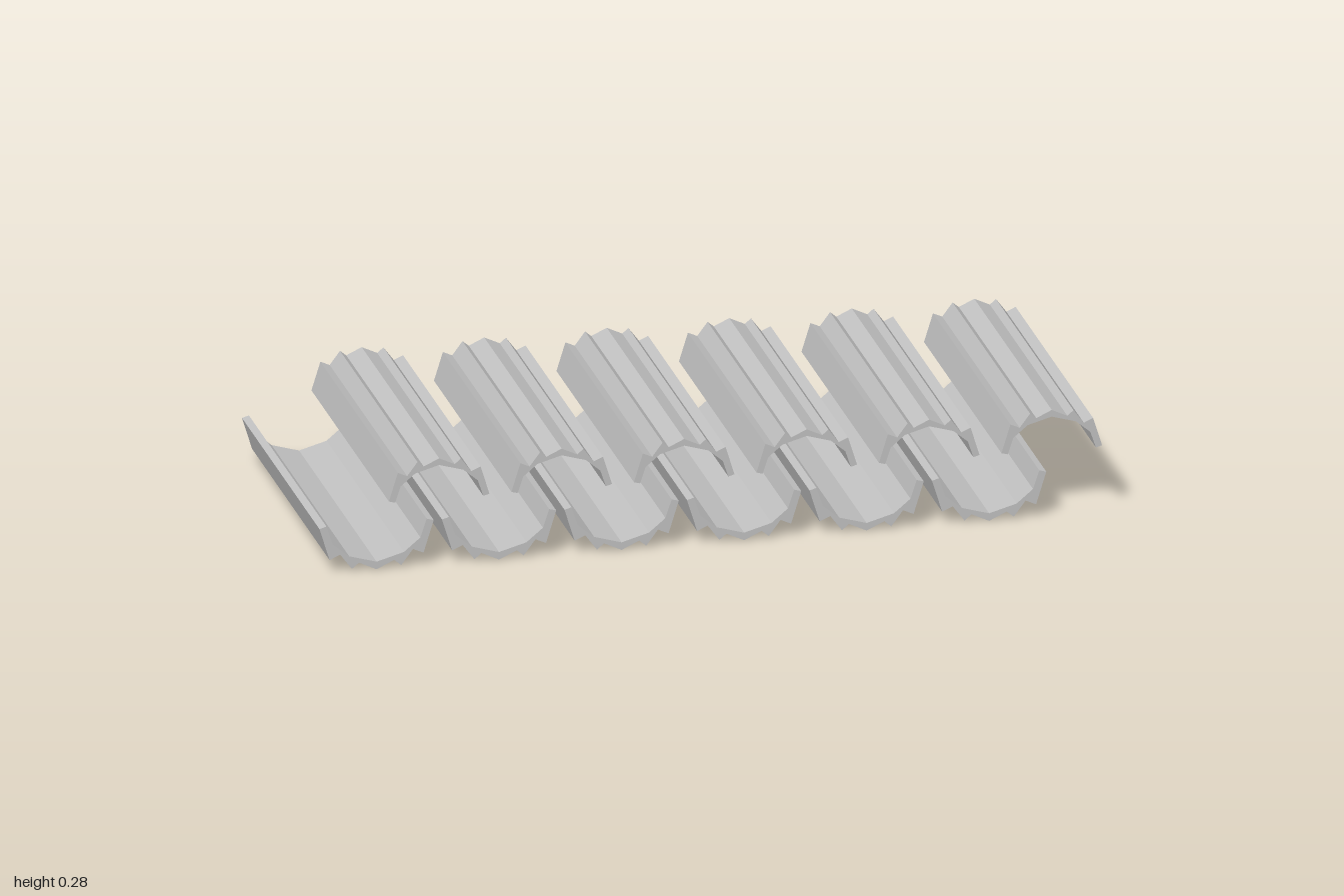
import * as THREE from 'three';

const LENGTH = 0.844;
const PITCH = 0.313;
const COUNT = 6;

// Half profile of a trough-shaped tile, from the centre outwards
const OUTER = [[0, 0], [0.045, 0.021], [0.063, 0.006], [0.093, 0.046], [0.12, 0.034], [0.146, 0.118]];
const INNER = [[0.128, 0.123], [0.112, 0.075], [0.07, 0.04], [0, 0.02]];

// Ribbed channel; flip = -1 turns it into a cover tile
function tileGeometry(scale, flip) {
  const half = [...OUTER, ...INNER];
  const mirrored = half.slice(1, -1).reverse().map(([x, y]) => [-x, y]);
  const points = [...half, ...mirrored].map(([x, y]) => new THREE.Vector2(x * scale, y * scale * flip));
  const geometry = new THREE.ExtrudeGeometry(new THREE.Shape(points), { depth: LENGTH, bevelEnabled: false });
  return geometry.translate(0, 0, -LENGTH / 2);
}

export function createModel() {
  const model = new THREE.Group();
  model.name = 'roofTiles';
  const clay = new THREE.MeshStandardMaterial({ color: 0xc0c0c0 });
  clay.name = 'grey tile';

  // A row of tiles side by side
  function addRow(name, geometry, startX, y) {
    const row = new THREE.Group();
    row.name = name + 'Row';
    for (let i = 0; i < COUNT; i++) {
      const tile = new THREE.Mesh(geometry, clay);
      tile.name = name;
      tile.position.set(startX + i * PITCH, y, 0);
      row.add(tile);
    }
    model.add(row);
  }

  // Lower channels open upwards, upper covers bridge the gaps
  addRow('channelTile', tileGeometry(1, 1), -0.854, 0);
  addRow('coverTile', tileGeometry(0.88, -1), -0.694, 0.28);
  return model;
}
